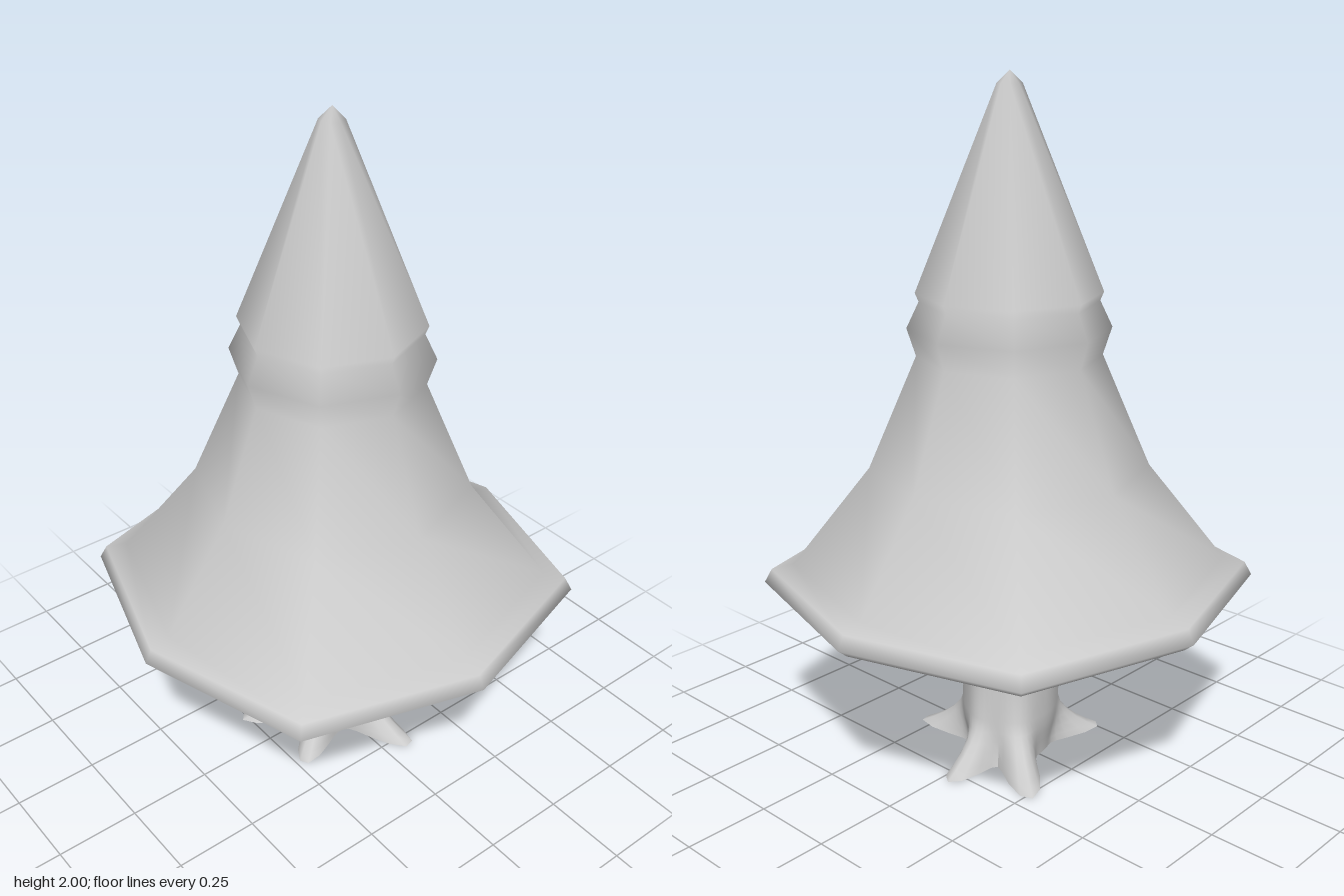
import * as THREE from 'three';
import { mergeVertices, toCreasedNormals } from 'three/addons/utils/BufferGeometryUtils.js';

// Lathe a profile of [radius, y] pairs, then move each vertex by a rule
function shapedLathe(profile, sides, rule) {
  const geometry = new THREE.LatheGeometry(profile.map(([r, y]) => new THREE.Vector2(r, y)), sides);
  geometry.deleteAttribute('uv');
  geometry.deleteAttribute('normal');
  const pos = geometry.attributes.position;
  const v = new THREE.Vector3();
  for (let i = 0; i < pos.count; i++) {
    rule(v.fromBufferAttribute(pos, i));
    pos.setXYZ(i, v.x, v.y, v.z);
  }
  const welded = mergeVertices(geometry, 1e-4);
  welded.computeVertexNormals();
  return welded;
}

// Eight-sided crown with a flared skirt, a waist band and a rolled rim
function makeFoliage() {
  const profile = [
    [0, 0.515], [0.58, 0.515], [0.635, 0.515], [0.665, 0.54], [0.645, 0.58], [0.585, 0.597],
    [0.385, 0.89], [0.26, 1.22], [0.285, 1.30], [0.25, 1.375], [0.26, 1.40],
    [0.035, 1.965], [0, 2],
  ];
  return shapedLathe(profile, 8, (v) => {
    // The corners between the axes reach further out towards the rim
    const diagonal = Math.min(Math.abs(v.x), Math.abs(v.z)) > 1e-3;
    if (!diagonal) return;
    const k = 1.015 + 0.07 * THREE.MathUtils.clamp((1.2 - v.y) / 0.6, 0, 1);
    v.x *= k;
    v.z *= k;
  });
}

// Root tips on the ground: x, z
const ROOTS = [[-0.23, 0.15], [0.08, 0.295], [0.295, -0.03], [0.2, -0.265], [-0.265, -0.13]];

// Trunk that leans slightly and spreads into five tapering roots
function makeTrunk() {
  const profile = [
    [0, 0], [0.12, 0], [0.122, 0.02], [0.126, 0.045], [0.132, 0.075], [0.137, 0.105],
    [0.139, 0.14], [0.137, 0.3], [0.133, 0.53],
  ];
  return toCreasedNormals(shapedLathe(profile, 60, (v) => {
    const r = Math.hypot(v.x, v.z);
    if (r > 1e-3) {
      const angle = Math.atan2(v.x, v.z);
      const flare = Math.pow(Math.max(0, 1 - v.y / 0.14), 1.7);
      let out = r;
      for (const [x, z] of ROOTS) {
        let d = angle - Math.atan2(x, z);
        d = Math.atan2(Math.sin(d), Math.cos(d));
        const reach = Math.hypot(x, z) - 0.13;
        out += reach * flare * Math.exp(-((d / 0.26) ** 2));
        out += 0.014 * Math.exp(-((d / 0.4) ** 2));
      }
      v.x *= out / r;
      v.z *= out / r;
    }
    v.x -= 0.015 * Math.max(0, v.y - 0.1) / 0.4;
  }), 0.9);
}

export function createModel() {
  const tree = new THREE.Group();
  tree.name = 'tree';
  const material = new THREE.MeshStandardMaterial({ color: 0xcccccc });
  const parts = { foliage: makeFoliage(), trunkWithRoots: makeTrunk() };
  for (const [name, geometry] of Object.entries(parts)) {
    const mesh = new THREE.Mesh(geometry, material);
    mesh.name = name;
    tree.add(mesh);
  }
  return tree;
}
